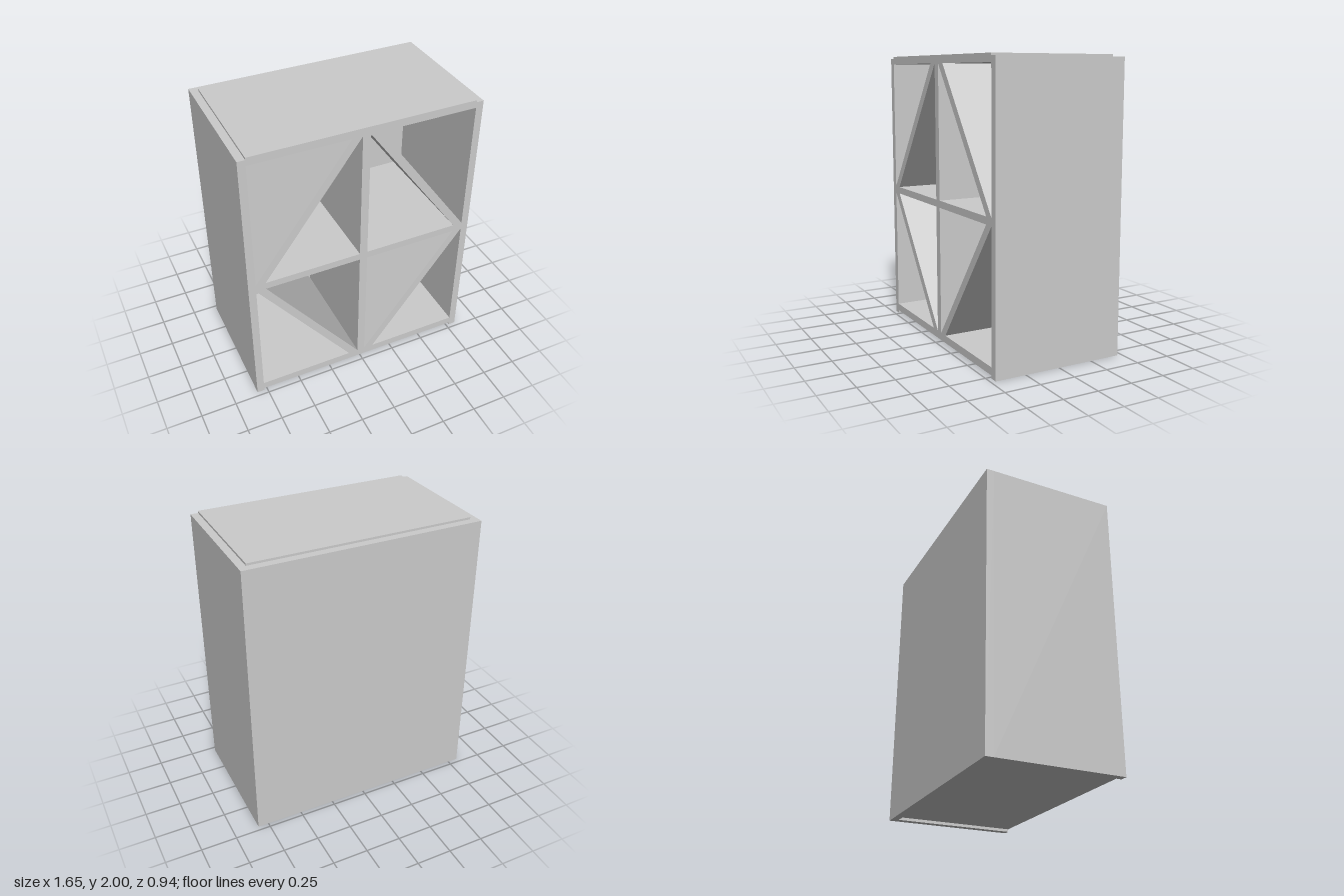
import * as THREE from 'three';

const material = new THREE.MeshStandardMaterial({ color: 0xcccccc, flatShading: true });

// Main dimensions
const OUTER = 0.825, INNER = 0.773, FRONT = 0.468, BACK = -0.468, BACK_INNER = -0.415;
const TOP = 1.985, CEILING = 1.945, FLOOR = 0.073, SHELF_LOW = 0.967, SHELF_HIGH = 1.017;
const POST = 0.0275;

export function createModel() {
  const group = new THREE.Group();

  // Board given by its limits along each axis
  function board(name, x0, x1, y0, y1, z0 = BACK_INNER, z1 = FRONT) {
    const geometry = new THREE.BoxGeometry(x1 - x0, y1 - y0, z1 - z0);
    geometry.translate((x0 + x1) / 2, (y0 + y1) / 2, (z0 + z1) / 2);
    const mesh = new THREE.Mesh(geometry, material);
    mesh.name = name;
    group.add(mesh);
  }

  // Slanted board running the full depth, from the side at the shelf to the middle post
  function brace(name, side, yShelf, yEnd) {
    const shape = new THREE.Shape([
      [INNER, yShelf], [0.705, yShelf], [POST, yEnd], [0.097, yEnd],
    ].map(([x, y]) => new THREE.Vector2(side * x, y)));
    const geometry = new THREE.ExtrudeGeometry(shape, { depth: FRONT - BACK_INNER, bevelEnabled: false });
    geometry.translate(0, 0, BACK_INNER);
    const mesh = new THREE.Mesh(geometry, material);
    mesh.name = name;
    group.add(mesh);
  }

  // Carcass: the top stands proud of the sides and the bottom is recessed
  board('backPanel', -OUTER, OUTER, 0, TOP, BACK, BACK_INNER);
  board('leftSide', INNER, OUTER, 0, TOP);
  board('rightSide', -OUTER, -INNER, 0, TOP);
  board('topPanel', -INNER, INNER, CEILING, 2);
  board('bottomPanel', -INNER, INNER, 0.02, FLOOR);

  // Inner cross
  board('middleShelf', -INNER, INNER, SHELF_LOW, SHELF_HIGH);
  board('upperDivider', -POST, POST, SHELF_HIGH, CEILING);
  board('lowerDivider', -POST, POST, FLOOR, SHELF_LOW);

  // Four braces forming a diamond
  for (const [label, side] of [['Left', 1], ['Right', -1]]) {
    brace(`upper${label}Brace`, side, SHELF_HIGH, CEILING);
    brace(`lower${label}Brace`, side, SHELF_LOW, FLOOR);
  }

  return group;
}
